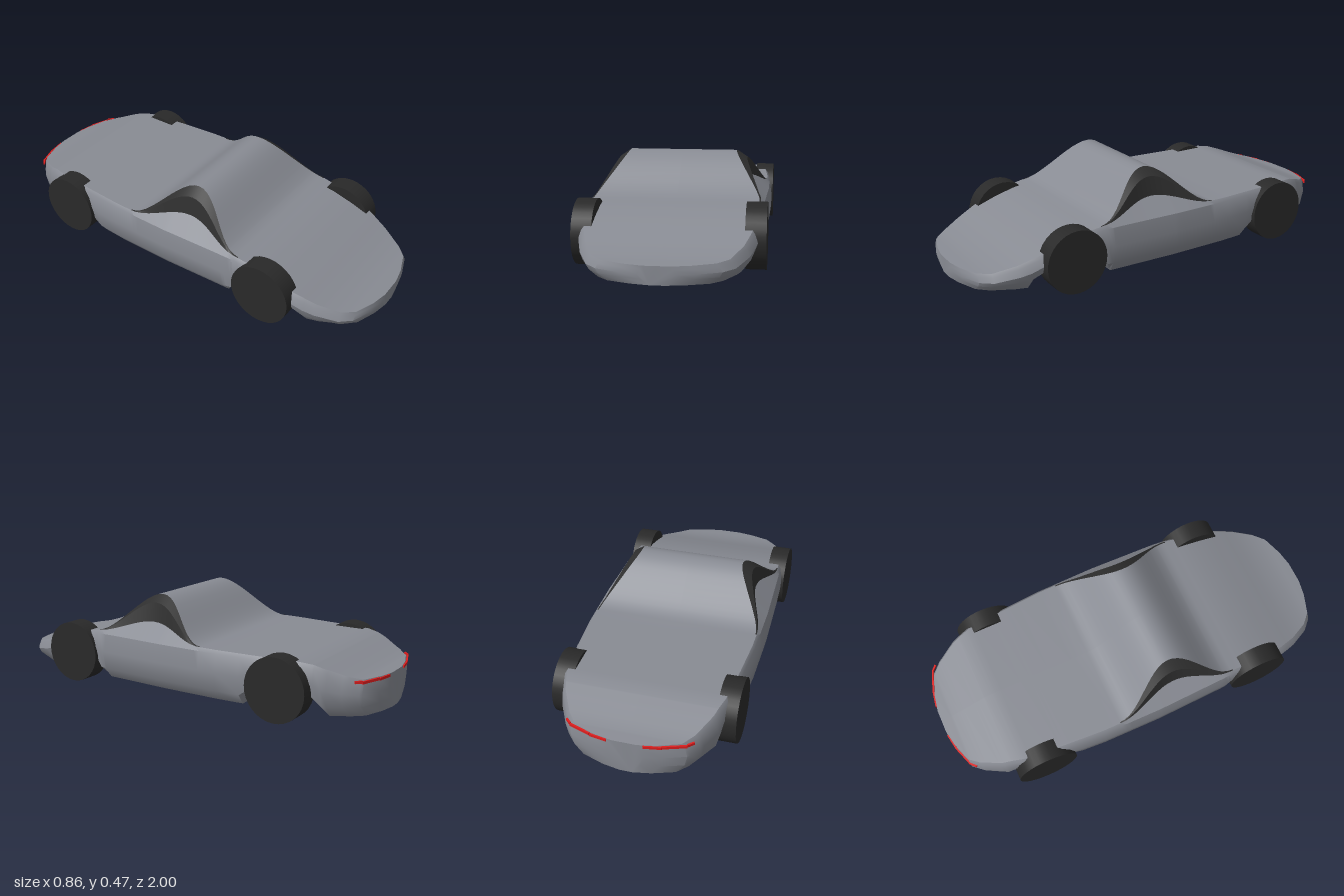
import * as THREE from 'three';
import { toCreasedNormals } from 'three/addons/utils/BufferGeometryUtils.js';

const material = (name, color) => {
  const m = new THREE.MeshStandardMaterial({ color });
  m.name = name;
  return m;
};

// Stations from nose to tail: [z, value]
const TOP = [[1, .12], [.9, .13], [.8, .162], [.7, .2], [.6, .235], [.5, .262], [.4, .278], [.3, .28],
  [-.7, .28], [-.76, .272], [-.82, .252], [-.88, .23], [-.94, .212], [-1, .205]];
const WIDTH = [[1, .08], [.985, .16], [.95, .26], [.9, .31], [.8, .36], [.7, .39], [.55, .405], [.35, .418],
  [0, .428], [-.3, .424], [-.5, .41], [-.7, .39], [-.8, .36], [-.9, .305], [-.95, .26], [-.985, .16], [-1, .08]];
const archAt = (z) => [[.2, .04], [.145, .12], [.1, .16], [.05, .175], [-.05, .175], [-.1, .16], [-.145, .12], [-.2, .04]]
  .map(([d, y]) => [z + d, y]);
const FRONT_AXLE = 0.55, REAR_AXLE = -0.62;
const FLOOR = [[1, .04], ...archAt(FRONT_AXLE), ...archAt(REAR_AXLE), [-1, .04]];
const CABIN_Z = 0.1, CABIN_REACH = 0.31;

function sample(table, z) {
  for (let i = 1; i < table.length; i++) {
    const [z0, v0] = table[i - 1], [z1, v1] = table[i];
    if (z >= z1) return THREE.MathUtils.lerp(v0, v1, (z0 - z) / (z0 - z1));
  }
  return table[table.length - 1][1];
}

// Cross-section of the shell at z, from one sill over the roof to the other
function section(z) {
  const base = sample(TOP, z), w = sample(WIDTH, z), floor = sample(FLOOR, z);
  const d = Math.min(1, Math.abs(z - CABIN_Z) / CABIN_REACH);
  const h = 0.5 + 0.5 * Math.cos(Math.PI * d);
  const shoulder = base - 0.015;
  const sill = Math.max(floor + 0.005, Math.min(0.09, floor + 0.4 * (shoulder - floor)));
  const half = [
    [w - 0.03 - 0.135 * h, base + 0.19 * h], // roof edge
    [w - 0.028 - 0.085 * h, base + 0.155 * h], // window bulge
    [w - 0.024 - 0.07 * h, base + 0.065 * h], // window foot
    [w - 0.012, shoulder],
    [w, (shoulder + sill) / 2],
    [w - 0.012, sill],
    [w - 0.05, floor],
  ];
  return [
    ...half.map(([x, y]) => [-x, y, z]).reverse(),
    [0, base + 0.19 * h, z],
    ...half.map(([x, y]) => [x, y, z]),
  ];
}

function geometryFrom(positions) {
  const g = new THREE.BufferGeometry();
  g.setAttribute('position', new THREE.Float32BufferAttribute(positions, 3));
  return toCreasedNormals(g, 0.55);
}

export function createModel() {
  const car = new THREE.Group();
  car.name = 'car';
  const paint = material('grey paint', 0x888b93);
  const glass = material('dark glass', 0x2e2e2e);
  const rubber = material('black rubber', 0x292929);
  const red = material('red light', 0xe01e1e);
  const add = (name, geometry, mat) => {
    const mesh = new THREE.Mesh(geometry, mat);
    mesh.name = name;
    car.add(mesh);
    return mesh;
  };

  // Stations, with extra ones over the cabin
  const stations = new Set([...TOP, ...WIDTH, ...FLOOR].map(([z]) => +z.toFixed(3)));
  for (let i = -12; i <= 12; i++) stations.add(+(CABIN_Z + CABIN_REACH * i / 12).toFixed(3));
  const zs = [...stations].sort((a, b) => b - a);
  const rings = zs.map(section);
  const n = rings[0].length;

  // Painted shell and side windows
  const body = [], windows = [];
  for (let i = 0; i < rings.length - 1; i++) {
    const inCabin = Math.abs((zs[i] + zs[i + 1]) / 2 - CABIN_Z) < CABIN_REACH;
    for (let j = 0; j < n; j++) {
      const k = (j + 1) % n;
      const a = rings[i][j], b = rings[i][k], c = rings[i + 1][k], d = rings[i + 1][j];
      const target = inCabin && [4, 5, 8, 9].includes(j) ? windows : body;
      target.push(...a, ...b, ...c, ...a, ...c, ...d);
    }
  }
  // Nose and tail caps
  const nose = rings[0], tail = rings[rings.length - 1];
  for (let k = 1; k < n - 1; k++) {
    body.push(...nose[0], ...nose[k + 1], ...nose[k]);
    body.push(...tail[0], ...tail[k], ...tail[k + 1]);
  }
  add('body', geometryFrom(body), paint);
  add('sideWindows', geometryFrom(windows), glass);

  // Wheels
  const wheel = new THREE.CylinderGeometry(0.15, 0.15, 0.092, 32).rotateZ(Math.PI / 2);
  for (const side of [-1, 1]) {
    for (const [name, z] of [['frontWheel', FRONT_AXLE], ['rearWheel', REAR_AXLE + 0.01]]) {
      add(name, wheel, rubber).position.set(side * 0.38, 0.15, z);
    }
  }

  // Tail lights: slim strips under the rear edge
  const strip = [[.08, -.998], [.16, -.984], [.26, -.949], [.285, -.925]];
  for (const side of [-1, 1]) {
    for (let i = 0; i < strip.length - 1; i++) {
      const [x0, z0] = strip[i], [x1, z1] = strip[i + 1];
      const z = (z0 + z1) / 2;
      const light = add('tailLight', new THREE.BoxGeometry(Math.hypot(x1 - x0, z1 - z0), 0.012, 0.008), red);
      light.position.set(side * (x0 + x1) / 2, sample(TOP, z) - 0.008, z);
      light.rotation.y = -side * Math.atan2(z1 - z0, x1 - x0);
    }
  }
  return car;
}
